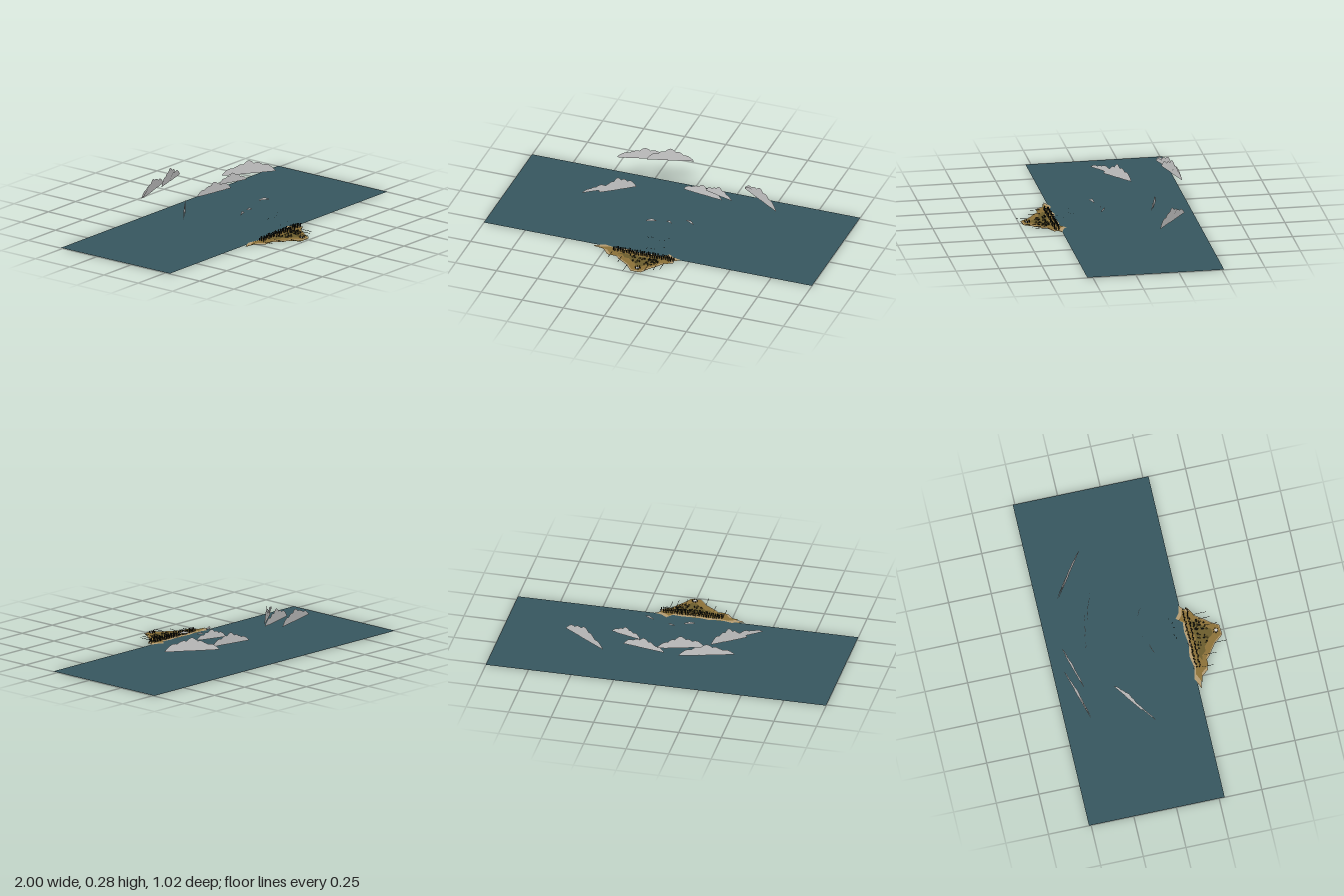
import * as THREE from 'three';

const mat = (color) => new THREE.MeshStandardMaterial({ color, side: THREE.DoubleSide });
const grey = mat(0xcccccc), seaMat = mat(0x36565e), wetSand = mat(0xb39a70), drySand = mat(0x8a7038),
  scrub = mat(0x6b5c2c), dark = mat(0x14160f), white = mat(0xffffff);

function rng(seed) {
  return () => (seed = (seed * 16807) % 2147483647) / 2147483647;
}

function add(parent, name, geometry, material, x = 0, y = 0, z = 0) {
  const m = new THREE.Mesh(geometry, material);
  m.name = name;
  m.position.set(x, y, z);
  parent.add(m);
  return m;
}

// Flat cloud card: overlapping puffs with scalloped tops on a straight base
function cloudCard(x0, z0, x1, z1, base, height, puffs) {
  const g = new THREE.Group();
  g.name = 'cloud';
  const w = Math.hypot(x1 - x0, z1 - z0);
  g.position.set((x0 + x1) / 2, base, (z0 + z1) / 2);
  g.rotation.y = -Math.atan2(z1 - z0, x1 - x0);
  puffs.forEach(([from, to, h, bumps], layer) => {
    const s = new THREE.Shape();
    const n = bumps * 8;
    s.moveTo((from - 0.5) * w, 0);
    for (let i = 0; i <= n; i++) {
      const t = i / n;
      const dome = Math.pow(Math.sin(Math.PI * t), 0.7) * (0.78 + 0.22 * Math.abs(Math.sin(Math.PI * bumps * t)));
      s.lineTo((from + (to - from) * t - 0.5) * w, height * (0.03 + 0.97 * h * (i === n ? 0 : dome)));
    }
    s.lineTo((to - 0.5) * w, 0);
    add(g, 'cloudPuff', new THREE.ShapeGeometry(s), grey, 0, 0, layer * 0.002);
  });
  return g;
}

// Ground patch from an outline of [x, z] points, shrunk towards a centre
function patch(points, k, cx, cz) {
  const s = new THREE.Shape(points.map(([x, z]) => new THREE.Vector2(cx + (x - cx) * k, -(cz + (z - cz) * k))));
  return new THREE.ShapeGeometry(s).rotateX(-Math.PI / 2);
}

// Bird: two swept wings
function bird(size) {
  const geo = new THREE.BufferGeometry();
  const p = [0, 0, 0.3, 0, 0, -0.3, 1, 0.4, -0.2, 0, 0, 0.3, -1, 0.4, -0.2, 0, 0, -0.3];
  geo.setAttribute('position', new THREE.Float32BufferAttribute(p.map((v) => v * size), 3));
  geo.computeVertexNormals();
  return geo;
}

export function createModel() {
  const root = new THREE.Group();
  const rand = rng(41);

  // Sea
  add(root, 'sea', new THREE.PlaneGeometry(2, 0.795).rotateX(-Math.PI / 2), seaMat, 0, 0.002, -0.115);

  // Headland, with a wet rim, dry sand and scrub
  const shore = [[-0.325, 0.30], [-0.26, 0.27], [-0.19, 0.285], [-0.12, 0.272], [-0.05, 0.285], [0.03, 0.275],
    [0.09, 0.28], [0.12, 0.245], [0.15, 0.268], [0.195, 0.28], [0.165, 0.3], [0.17, 0.325], [0.12, 0.35],
    [0.085, 0.4], [0.06, 0.43], [0.03, 0.48], [-0.03, 0.485], [-0.075, 0.43], [-0.14, 0.385],
    [-0.165, 0.36], [-0.22, 0.36], [-0.26, 0.31]];
  const land = new THREE.Group();
  land.name = 'headland';
  root.add(land);
  add(land, 'headlandBase', patch(shore, 1, 0, 0.36), drySand, 0, 0, 0);
  add(land, 'shoreSand', patch(shore, 1, 0, 0.36), wetSand, 0, 0.004, 0);
  add(land, 'drySand', patch(shore, 0.9, 0.0, 0.42), drySand, 0, 0.006, 0);
  add(land, 'scrubGround', patch(shore, 0.5, 0.0, 0.38), scrub, 0, 0.007, 0);

  // Two rows of dark stalks along the back of the headland
  const stalk = new THREE.BoxGeometry(0.0035, 1, 0.0035);
  const tuft = new THREE.IcosahedronGeometry(0.004, 0);
  [[0.295, 0.02], [0.318, 0.024]].forEach(([z, tall]) => {
    for (let i = 0; i < 34; i++) {
      const h = tall * (0.6 + 0.4 * rand());
      const x = -0.195 + i * 0.0108 + (rand() - 0.5) * 0.006;
      const zz = z + (rand() - 0.5) * 0.008;
      const m = add(land, 'stalk', stalk, dark, x, 0.006 + h / 2, zz);
      m.scale.y = h;
      m.rotation.z = (rand() - 0.5) * 0.5;
      add(land, 'stalkTuft', tuft, dark, x, 0.006 + h, zz);
    }
  });

  // Low bushes and stones
  const stone = new THREE.IcosahedronGeometry(0.0055, 0);
  for (let i = 0; i < 42; i++) {
    const z = 0.335 + 0.07 * rand();
    const x = i < 18 ? 0.02 + 0.06 * rand() : (rand() - 0.5) * (0.66 - 1.35 * z);
    const m = add(land, 'bush', stone, i % 3 ? dark : scrub, x, 0.009, z);
    m.scale.set(0.6 + rand() * 0.7, 0.5 + rand(), 0.6 + rand() * 0.7);
  }

  // Posts around a pale disc at the tip
  add(land, 'paleDisc', new THREE.CylinderGeometry(0.01, 0.01, 0.003, 16), white, 0, 0.0085, 0.455);
  for (let i = 0; i < 6; i++) {
    const a = (i / 6) * Math.PI * 2;
    const h = 0.008 + rand() * 0.009;
    add(land, 'tipPost', stalk, dark, Math.cos(a) * 0.014, 0.006 + h / 2, 0.452 + Math.sin(a) * 0.014).scale.y = h;
  }

  // Thin poles reaching out over the edge
  [[-0.2, 0.4], [-0.13, 0.43], [-0.07, 0.505], [0.045, 0.47], [0.09, 0.44], [0.123, 0.425]].forEach(([x, z]) => {
    add(land, 'thinPole', new THREE.BoxGeometry(0.0018, 0.0018, 0.075), dark, x, 0.006, z - 0.0375);
  });

  // Cloud cards, turned to face the headland
  const broad = [[0, 0.62, 0.62, 3], [0.3, 1, 0.8, 3], [0.18, 0.82, 1, 3], [0.02, 0.5, 0.4, 2]];
  const lean = [[0.15, 0.85, 1, 3], [0, 0.5, 0.65, 2], [0.45, 1, 0.55, 2]];
  [
    [-0.43, -0.375, -0.12, -0.465, 0.185, 0.068, broad],
    [-0.25, -0.375, 0.01, -0.45, 0.208, 0.076, lean],
    [-0.51, -0.01, -0.33, -0.14, 0.138, 0.035, lean],
    [-0.43, -0.07, -0.25, -0.2, 0.125, 0.08, broad],
    [0.34, -0.4, 0.6, -0.215, 0.128, 0.078, broad],
    [0.15, -0.27, 0.33, -0.215, 0.145, 0.055, lean],
    [0.0, -0.31, 0.25, -0.265, 0.102, 0.064, broad],
    [-0.09, 0.075, -0.03, 0.052, 0.087, 0.017, lean],
    [0.14, 0.025, 0.2, 0.055, 0.11, 0.015, lean],
    [0.02, 0.03, 0.06, 0.04, 0.082, 0.012, lean],
  ].forEach((c) => root.add(cloudCard(...c)));

  // Birds rising from the headland over the water
  [[0.0, 0.072, 0.21], [0.1, 0.078, 0.2], [0.05, 0.065, 0.22], [0.075, 0.07, 0.215], [-0.02, 0.075, 0.22],
    [0.02, 0.04, 0.28], [0.0, 0.055, 0.305], [0.09, 0.05, 0.26], [0.05, 0.06, 0.31], [-0.06, 0.035, 0.34]]
    .forEach(([x, y, z], i) => {
      add(root, 'bird', bird(0.007), dark, x, y, z).rotation.y = i * 0.7;
    });

  return root;
}
